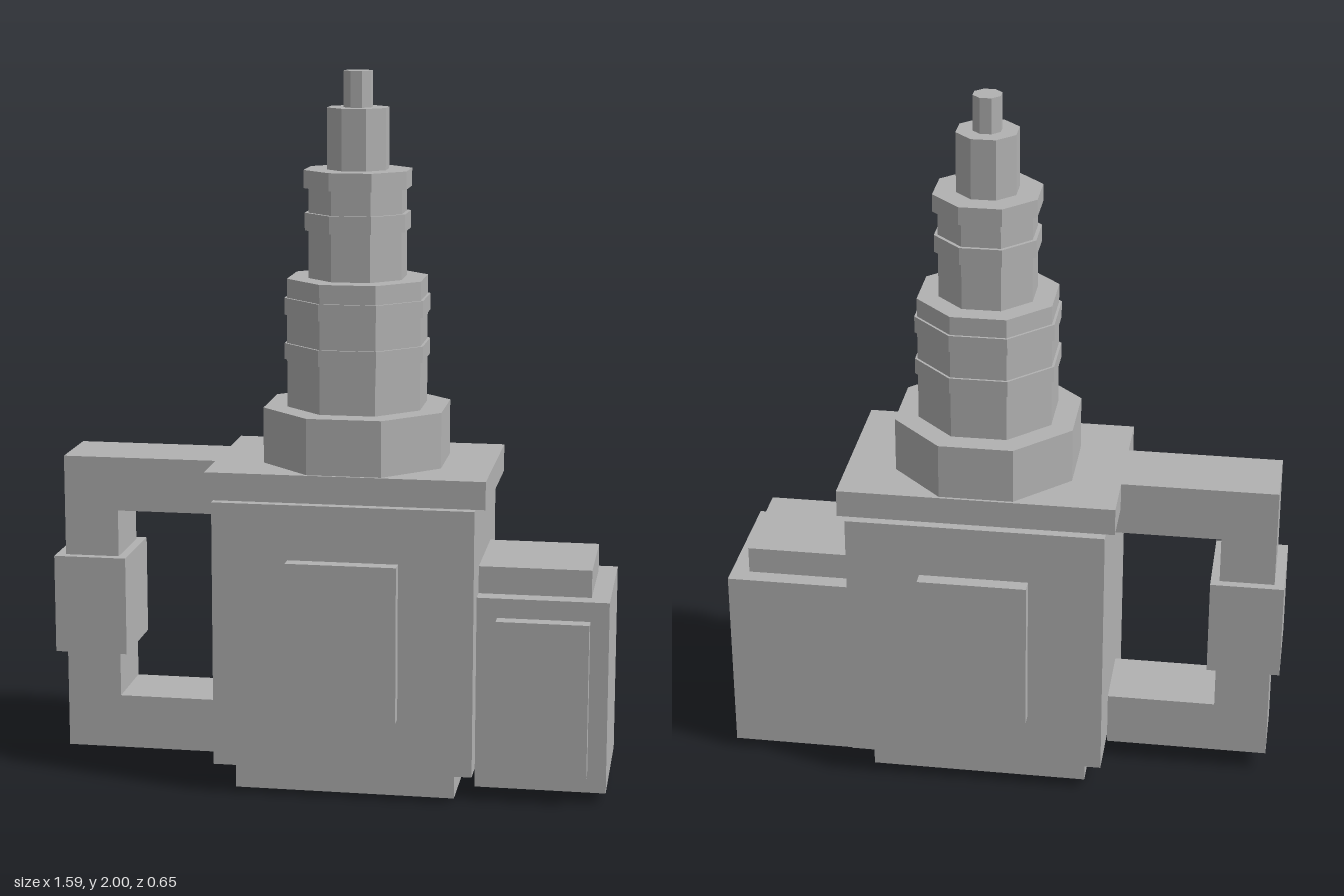
import * as THREE from 'three';

export function createModel() {
  const model = new THREE.Group();
  const grey = new THREE.MeshStandardMaterial({ color: 0xb2b2b2 });
  grey.name = 'grey metal';

  const add = (name, geometry) => {
    const mesh = new THREE.Mesh(geometry, grey);
    mesh.name = name;
    model.add(mesh);
    return mesh;
  };
  // Box given by its limits on each axis
  const box = (name, x0, x1, y0, y1, z0, z1) =>
    add(name, new THREE.BoxGeometry(x1 - x0, y1 - y0, z1 - z0))
      .position.set((x0 + x1) / 2, (y0 + y1) / 2, (z0 + z1) / 2);

  // Main housing with foot and lid
  box('foot', -0.25, 0.37, 0, 0.083, -0.23, 0.23);
  box('housing', -0.302, 0.425, 0.083, 0.835, -0.285, 0.285);
  box('lid', -0.327, 0.452, 0.835, 0.913, -0.258, 0.258);
  box('frontPanel', -0.09, 0.217, 0.24, 0.68, 0.285, 0.325);
  box('backPanel', -0.09, 0.217, 0.24, 0.68, -0.325, -0.285);

  // Side box with raised top and front plate
  box('sideBox', 0.425, 0.79, 0.03, 0.575, -0.205, 0.205);
  box('sideBoxTop', 0.425, 0.738, 0.575, 0.652, -0.156, 0.156);
  box('sideBoxPlate', 0.482, 0.738, 0.083, 0.52, 0.205, 0.246);

  // C-shaped handle and its grip
  const bracket = new THREE.Shape([
    [-0.302, 0.057], [-0.302, 0.212], [-0.612, 0.212], [-0.612, 0.759],
    [-0.302, 0.759], [-0.302, 0.913], [-0.767, 0.913], [-0.767, 0.057],
  ].map(([x, y]) => new THREE.Vector2(x, y)));
  add('handle', new THREE.ExtrudeGeometry(bracket, { depth: 0.21, bevelEnabled: false }))
    .position.z = -0.105;
  box('grip', -0.795, -0.587, 0.343, 0.625, -0.13, 0.13);

  // Stepped octagonal tower: name, flat-to-centre distance, bottom, top
  const tiers = [
    ['towerBase', 0.25, 0.913, 1.07],
    ['lowerBarrel', 0.187, 1.07, 1.43],
    ['lowerRing', 0.194, 1.205, 1.25],
    ['lowerRing', 0.194, 1.33, 1.377],
    ['upperBarrel', 0.13, 1.43, 1.73],
    ['upperRing', 0.14, 1.563, 1.612],
    ['upperRing', 0.143, 1.68, 1.73],
    ['neck', 0.082, 1.73, 1.9],
    ['tip', 0.038, 1.9, 2],
  ];
  for (const [name, apothem, y0, y1] of tiers) {
    const r = apothem / Math.cos(Math.PI / 8);
    const g = new THREE.CylinderGeometry(r, r, y1 - y0, 8).rotateY(Math.PI / 8).toNonIndexed();
    g.computeVertexNormals(); // flat facets
    add(name, g).position.set(0.061, (y0 + y1) / 2, 0);
  }
  return model;
}
